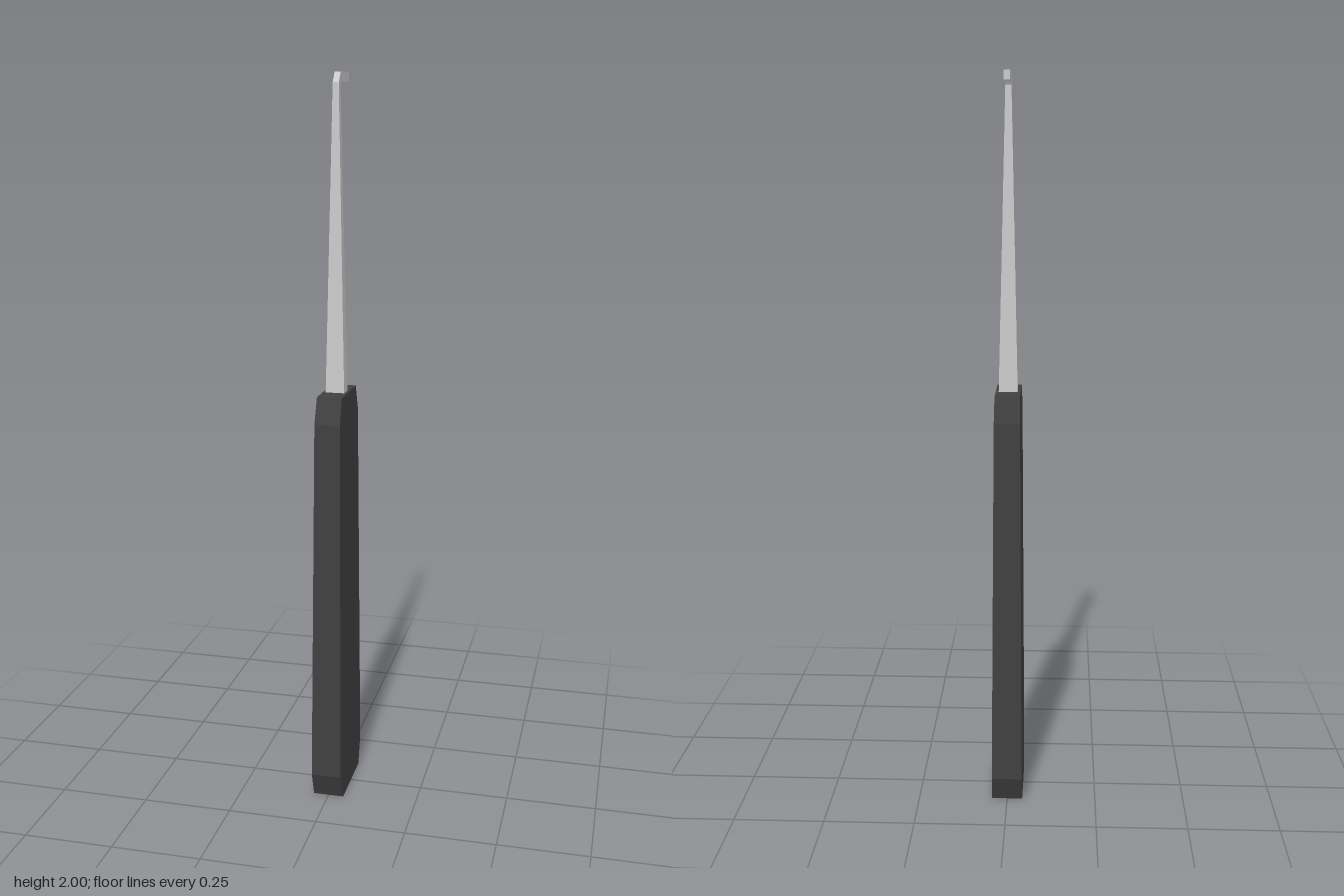
import * as THREE from 'three';

// Lofts rectangular sections: [frontY, frontZ, backY, backZ, halfWidth], with capped ends.
function loft(sections) {
  const rings = sections.map(([fy, fz, by, bz, w]) => [
    [w, fy, fz], [w, by, bz], [-w, by, bz], [-w, fy, fz],
  ]);
  const positions = [];
  const quad = (a, b, c, d) => positions.push(...a, ...b, ...c, ...a, ...c, ...d);
  for (let i = 0; i < rings.length - 1; i++) {
    for (let j = 0; j < 4; j++) {
      const k = (j + 1) % 4;
      quad(rings[i][j], rings[i][k], rings[i + 1][k], rings[i + 1][j]);
    }
  }
  quad(...[...rings[0]].reverse());
  quad(...rings[rings.length - 1]);
  const geometry = new THREE.BufferGeometry();
  geometry.setAttribute('position', new THREE.Float32BufferAttribute(positions, 3));
  geometry.computeVertexNormals();
  return geometry;
}

function part(name, geometry, color) {
  const mesh = new THREE.Mesh(geometry, new THREE.MeshStandardMaterial({ color, flatShading: true }));
  mesh.name = name;
  return mesh;
}

export function createModel() {
  const group = new THREE.Group();
  group.name = 'hookedPick';

  // Flat tapering grip with chamfered ends: [y, half depth, half width]
  const grip = [
    [0, 0.1, 0.043],
    [0.075, 0.129, 0.042],
    [1.095, 0.109, 0.035],
    [1.165, 0.085, 0.034],
  ].map(([y, d, w]) => [y, d, y, -d, w]);
  group.add(part('handle', loft(grip), 0x404040));

  // Tapered shaft bending into a hook that points backwards
  group.add(part('hookedShaft', loft([
    [1.15, 0.021, 1.15, -0.021, 0.026],
    [1.974, 0.011, 1.967, -0.009, 0.008],
    [2, -0.011, 1.976, -0.015, 0.008],
    [2, -0.105, 1.976, -0.105, 0.008],
  ]), 0xcccccc));

  return group;
}
